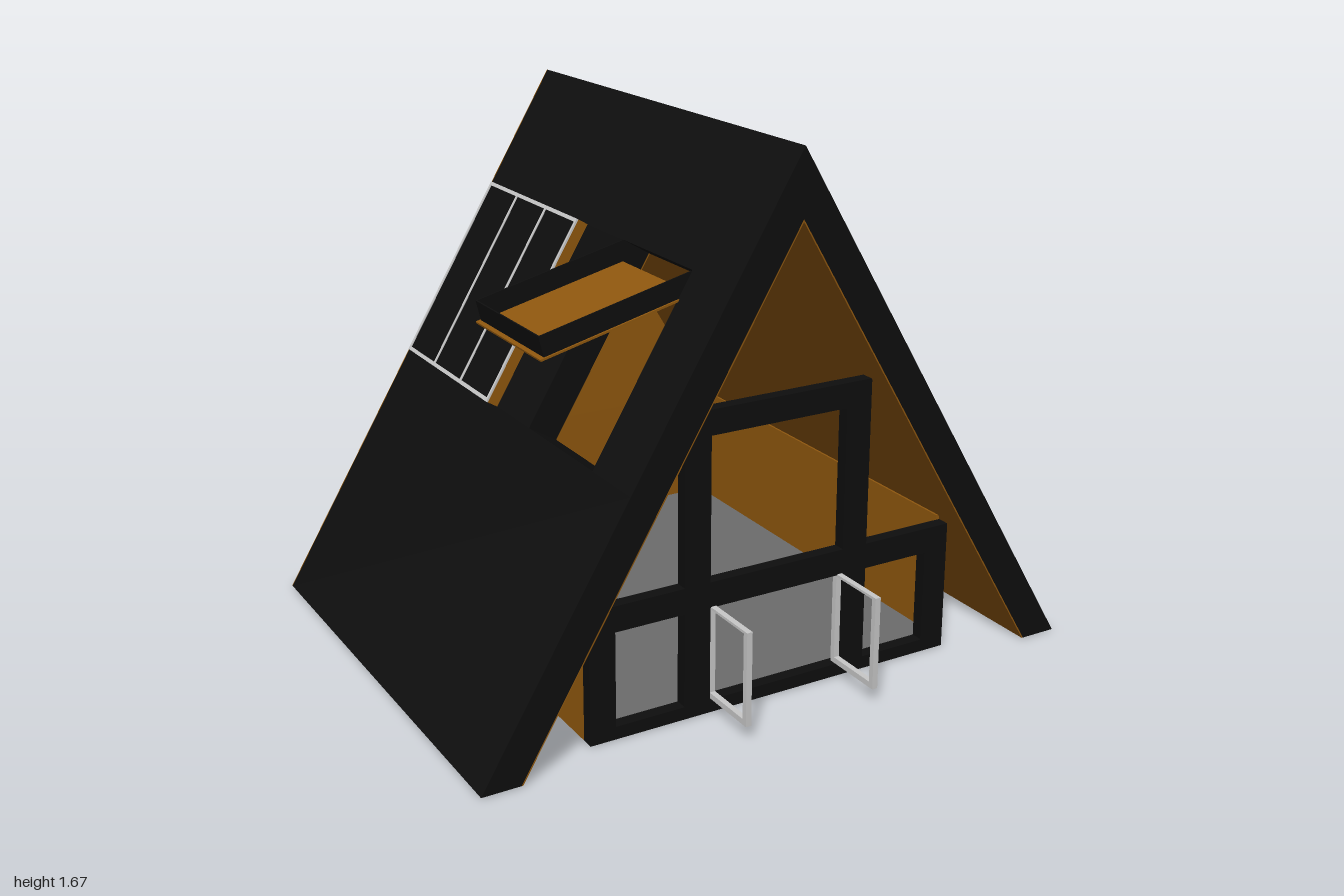
import * as THREE from 'three';

const mat = (name, color) => {
  const m = new THREE.MeshStandardMaterial({ color });
  m.name = name;
  return m;
};

export function createModel() {
  const black = mat('black cladding', 0x0e0e0e);
  const wood = mat('wood', 0x8f570e);
  const grey = mat('floor grey', 0x6c6c6c);
  const metal = mat('light metal', 0xc8c8c8);

  const house = new THREE.Group();
  house.name = 'aFrameHouse';

  const H = 1.665, L = Math.hypot(1, H), C = 1 / L, S = H / L;
  const BACK = -0.816, FRONT = 0.72;

  const add = (parent, name, geo, material) => {
    const m = new THREE.Mesh(geo, material);
    m.name = name;
    parent.add(m);
    return m;
  };
  const box = (parent, name, material, x0, x1, y0, y1, z0, z1) =>
    add(parent, name, new THREE.BoxGeometry(x1 - x0, y1 - y0, z1 - z0), material)
      .position.set((x0 + x1) / 2, (y0 + y1) / 2, (z0 + z1) / 2);
  const poly = pts => new THREE.Shape(pts.map(p => new THREE.Vector2(p[0], p[1])));
  const extrude = (parent, name, shape, z0, z1, material) => {
    const g = new THREE.ExtrudeGeometry(shape, { depth: z1 - z0, bevelEnabled: false });
    g.translate(0, 0, z0);
    return add(parent, name, g, material);
  };

  // Point at distance s up the roof slope and depth d below its outer face;
  // eave is cut level and ridge is cut upright
  const slope = (side, s, d) => {
    if (s === 0) return [side * (1 - d / S), 0];
    if (s === L) return [0, H - d / C];
    return [side * (1 - C * s - S * d), S * s - C * d];
  };
  const slab = (name, material, side, s0, s1, d0, d1, z0, z1) =>
    extrude(house, name, poly([
      slope(side, s0, d0), slope(side, s1, d0), slope(side, s1, d1), slope(side, s0, d1),
    ]), z0, z1, material);

  // Roof: black shell with a wood lining, a hatch opening on the right slope
  const T = 0.107, S0 = 0.9, S1 = 1.52, Z0 = 0.1, Z1 = 0.5;
  const layers = [['roof', black, 0, T - 0.004], ['roofLining', wood, T - 0.004, T]];
  for (const [name, material, d0, d1] of layers) {
    slab(name + 'Left', material, 1, 0, L, d0, d1, BACK, FRONT);
    slab(name + 'RightLower', material, -1, 0, S0, d0, d1, BACK, FRONT);
    slab(name + 'RightUpper', material, -1, S1, L, d0, d1, BACK, FRONT);
    slab(name + 'RightBack', material, -1, S0, S1, d0, d1, BACK, Z0);
    slab(name + 'RightFront', material, -1, S0, S1, d0, d1, Z1, FRONT);
  }
  // Wood underside of the right eave
  const eave = add(house, 'rightEaveUnderside', new THREE.PlaneGeometry(0.125, FRONT - BACK), wood);
  eave.rotation.x = Math.PI / 2;
  eave.position.set(-0.9375, -0.001, (FRONT + BACK) / 2);

  // Back gable, notched beside the walls
  extrude(house, 'backGable', poly([
    [-1, 0], [-0.875, 0], [-0.622, 0.42], [-0.622, 0], [0.622, 0], [0.622, 0.42],
    [0.875, 0], [1, 0], [0, H],
  ]), BACK - 0.004, BACK, wood);

  // Floor and low side walls
  box(house, 'floor', grey, -0.618, 0.618, 0, 0.03, BACK - 0.003, 0.625);
  for (const side of [-1, 1]) {
    const a = side * 0.622, b = side * 0.61;
    box(house, 'sideWall', wood, Math.min(a, b), Math.max(a, b), 0, 0.43, BACK, 0.59);
  }

  // Front frame with open panes
  const frame = poly([
    [-0.622, 0], [0.622, 0], [0.622, 0.415], [0.315, 0.415], [0.315, 0.937],
    [-0.315, 0.937], [-0.315, 0.415], [-0.622, 0.415],
  ]);
  const panes = [
    [-0.54, -0.315, 0.04, 0.335], [-0.23, 0.23, 0.04, 0.335],
    [0.315, 0.54, 0.04, 0.335], [-0.23, 0.23, 0.415, 0.86],
  ];
  for (const [x0, x1, y0, y1] of panes) {
    frame.holes.push(poly([[x0, y0], [x0, y1], [x1, y1], [x1, y0]]));
  }
  extrude(house, 'frontFrame', frame, 0.59, 0.63, black);

  // Two open glazed doors, shown as thin metal frames
  for (const side of [-1, 1]) {
    const door = new THREE.Group();
    door.name = side > 0 ? 'leftDoor' : 'rightDoor';
    door.position.x = side * 0.22;
    const r = 0.009;
    box(door, 'doorHingeBar', metal, -r, r, 0.045, 0.338, 0.61, 0.628);
    box(door, 'doorOuterBar', metal, -r, r, 0.045, 0.338, 0.806, 0.824);
    box(door, 'doorBottomBar', metal, -r, r, 0.045, 0.063, 0.628, 0.806);
    box(door, 'doorTopBar', metal, -r, r, 0.33, 0.338, 0.628, 0.806);
    house.add(door);
  }

  // Solar panel on the right slope
  const P0 = -0.742, P1 = -0.122;
  slab('panelBox', wood, -1, S0, S1, -0.036, 0, P0, P1);
  slab('panelFace', black, -1, S0 + 0.004, S1 - 0.004, -0.039, -0.036, P0 + 0.004, P1 - 0.004);
  for (const z of [P0, -0.54, -0.335, P1 - 0.01]) {
    slab('panelBar', metal, -1, S0, S1, -0.042, -0.036, z, z + 0.01);
  }
  for (const s of [S0, S1 - 0.012]) {
    slab('panelEdge', metal, -1, s, s + 0.012, -0.042, -0.036, P0, P1);
  }

  // Raised hatch: wood plate with a thin black rim, hinged at the top of the opening
  const hatch = new THREE.Group();
  hatch.name = 'hatch';
  hatch.position.set(-0.69, 1.115, 0.3);
  hatch.rotation.z = 0.242;
  box(hatch, 'hatchPlate', wood, 0, 0.487, 0, 0.006, -0.208, 0.208);
  box(hatch, 'hatchEndRim', black, 0.014, 0.018, 0.006, 0.068, -0.2, 0.2);
  for (const z of [-0.202, 0.198]) {
    box(hatch, 'hatchSideRim', black, 0.014, 0.5, 0.006, 0.068, z, z + 0.004);
  }
  house.add(hatch);

  return house;
}
